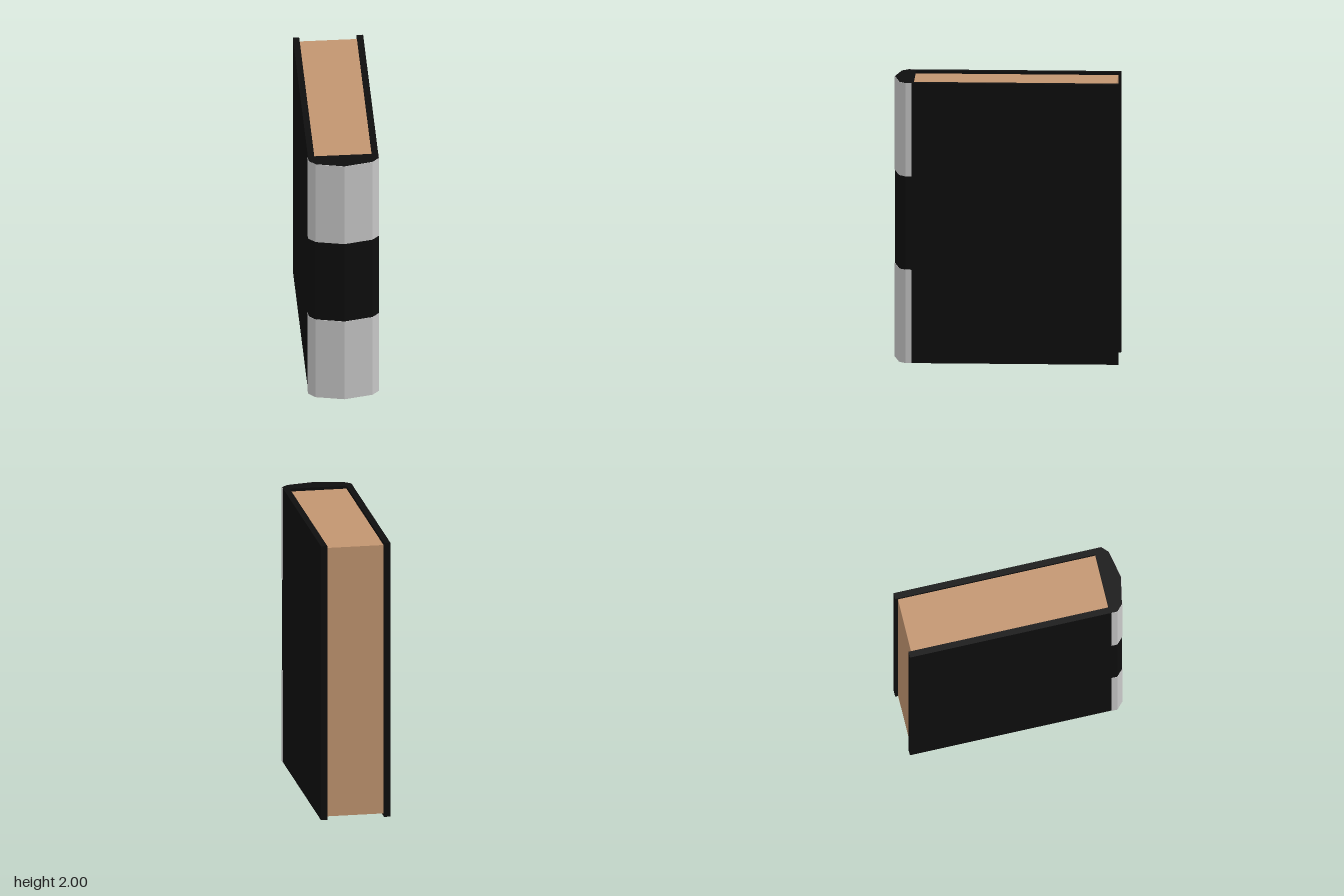
import * as THREE from 'three';

const H = 2;

// Outer outline of the spine as [x, z], from the -x board round to the +x board
const spineOutline = (grow) => [
  [-0.247 - grow, 0.66], [-0.247 - grow, 0.703], [-0.2, 0.747 + grow], [0, 0.787 + grow],
  [0.2, 0.747 + grow], [0.247 + grow, 0.703], [0.247 + grow, 0.66],
];

// Extrudes a floor plan of [x, z] points upwards from y to y + height
function extrudePlan(points, y, height) {
  const shape = new THREE.Shape(points.map(([x, z]) => new THREE.Vector2(x, -z)));
  return new THREE.ExtrudeGeometry(shape, { depth: height, bevelEnabled: false })
    .rotateX(-Math.PI / 2)
    .translate(0, y, 0);
}

export function createModel() {
  const group = new THREE.Group();
  const material = (name, color) => {
    const m = new THREE.MeshStandardMaterial({ color });
    m.name = name;
    return m;
  };
  const black = material('black cover', 0x0e0e0e);
  const grey = material('light grey', 0xc8c8c8);
  const paper = material('tan paper', 0xc29570);

  const add = (name, geometry, mat) => {
    const mesh = new THREE.Mesh(geometry, mat);
    mesh.name = name;
    group.add(mesh);
  };

  // Cover: two boards joined by a faceted spine
  add('cover', extrudePlan([
    [-0.247, -0.79], ...spineOutline(0), [0.247, -0.79],
    [0.202, -0.79], [0.202, 0.65], [-0.202, 0.65], [-0.202, -0.79],
  ], 0, H), black);

  // Page block, slightly inset from the cover edges
  const z0 = -0.77, z1 = 0.652;
  const pages = new THREE.BoxGeometry(0.406, H - 0.04, z1 - z0);
  pages.translate(0, H / 2, (z0 + z1) / 2);
  add('pages', pages, paper);

  // Thin grey panels wrapping the top and bottom thirds of the spine
  const panel = [...spineOutline(0.003), ...spineOutline(0).reverse()];
  add('lowerSpinePanel', extrudePlan(panel, 0, H / 3), grey);
  add('upperSpinePanel', extrudePlan(panel, H * 2 / 3, H / 3), grey);

  return group;
}
